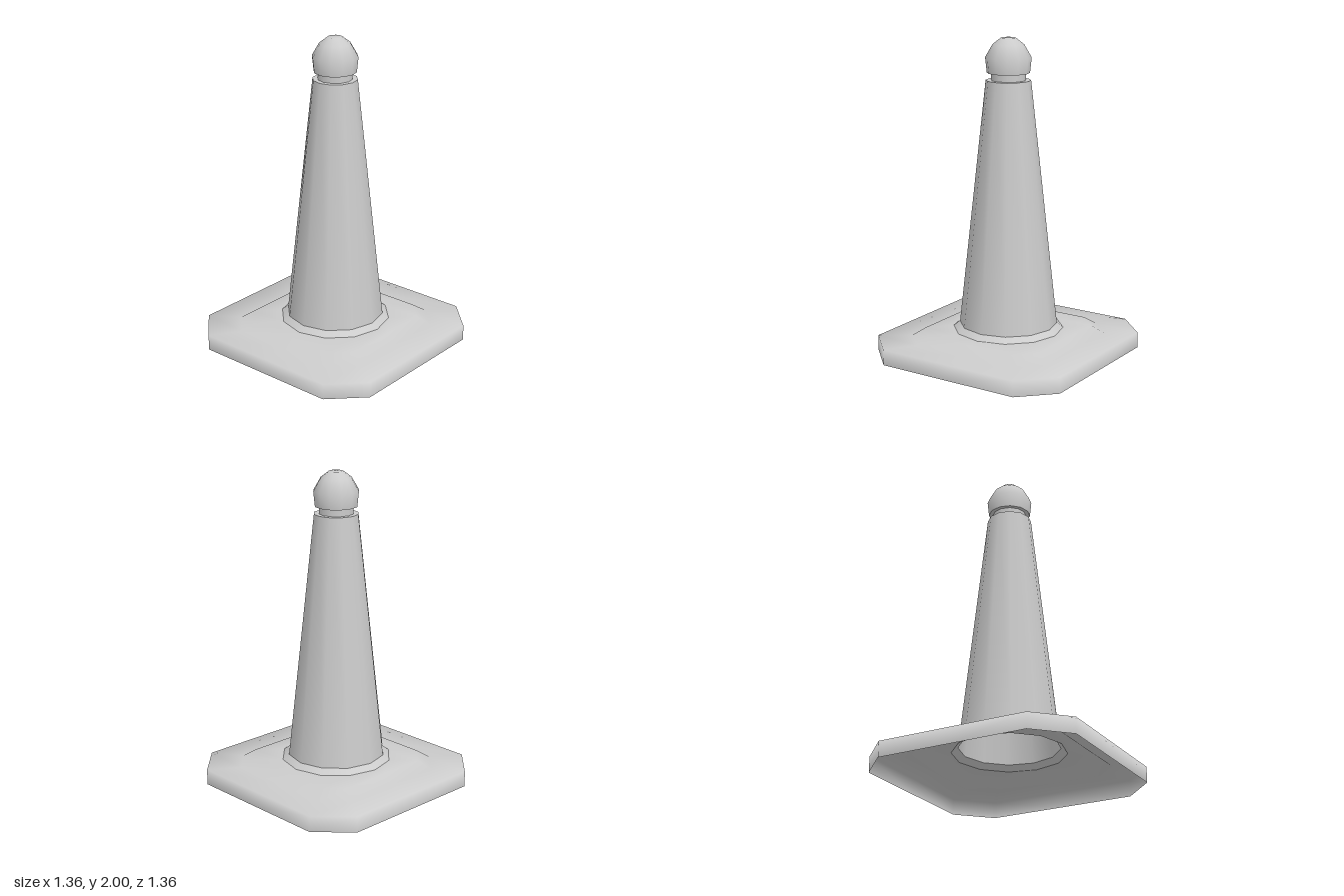
import * as THREE from 'three';

const SIDES = 12;
const material = new THREE.MeshStandardMaterial({ color: 0xcccccc, side: THREE.DoubleSide });

// Twelve-sided turned part from [radius, height] pairs, bottom to top
function turned(name, profile) {
  const points = profile.map(([r, y]) => new THREE.Vector2(r, y));
  const mesh = new THREE.Mesh(new THREE.LatheGeometry(points, SIDES), material);
  mesh.name = name;
  return mesh;
}

// Square with cut corners: four edge midpoints and eight corners
function cutSquare(half, corner, y) {
  const ring = [];
  for (let q = 0; q < 4; q++) {
    const a = q * Math.PI / 2, c = Math.cos(a), s = Math.sin(a);
    for (const [u, v] of [[half, 0], [half, corner], [corner, half]]) {
      ring.push([u * c - v * s, y, u * s + v * c]);
    }
  }
  return ring;
}

function circle(radius, y) {
  return Array.from({ length: SIDES }, (_, i) => {
    const a = i * 2 * Math.PI / SIDES;
    return [radius * Math.cos(a), y, radius * Math.sin(a)];
  });
}

// Smooth skin over rings ordered from the outer bottom to the inner top
function loft(rings) {
  const index = [];
  for (let r = 0; r < rings.length - 1; r++) {
    for (let i = 0; i < SIDES; i++) {
      const j = (i + 1) % SIDES;
      const a = r * SIDES + i, b = r * SIDES + j;
      index.push(a, a + SIDES, b, b, a + SIDES, b + SIDES);
    }
  }
  const geometry = new THREE.BufferGeometry();
  geometry.setAttribute('position', new THREE.Float32BufferAttribute(rings.flat(2), 3));
  geometry.setIndex(index);
  geometry.computeVertexNormals();
  return geometry;
}

export function createModel() {
  const group = new THREE.Group();
  group.name = 'trafficCone';

  // Hollow base: skirt, flange, raised step and round opening
  const base = new THREE.Mesh(loft([
    cutSquare(0.68, 0.48, 0),
    cutSquare(0.68, 0.48, 0.1),
    cutSquare(0.5, 0.36, 0.1),
    cutSquare(0.43, 0.31, 0.15),
    circle(0.35, 0.153),
  ]), material);
  base.name = 'base';
  group.add(base);

  // Collar and hollow tapered body
  group.add(turned('collar', [[0.35, 0.153], [0.31, 0.185]]));
  group.add(turned('coneBody', [[0.31, 0.185], [0.14, 1.74]]));

  // Shoulder, neck and knob on top
  group.add(turned('shoulder', [[0.14, 1.74], [0.108, 1.74]]));
  group.add(turned('neck', [[0.108, 1.74], [0.108, 1.785]]));
  group.add(turned('knobUnderside', [[0.108, 1.785], [0.133, 1.785]]));
  group.add(turned('knob', [[0.133, 1.785], [0.143, 1.88], [0.097, 1.96], [0.045, 2], [0, 2]]));

  return group;
}
